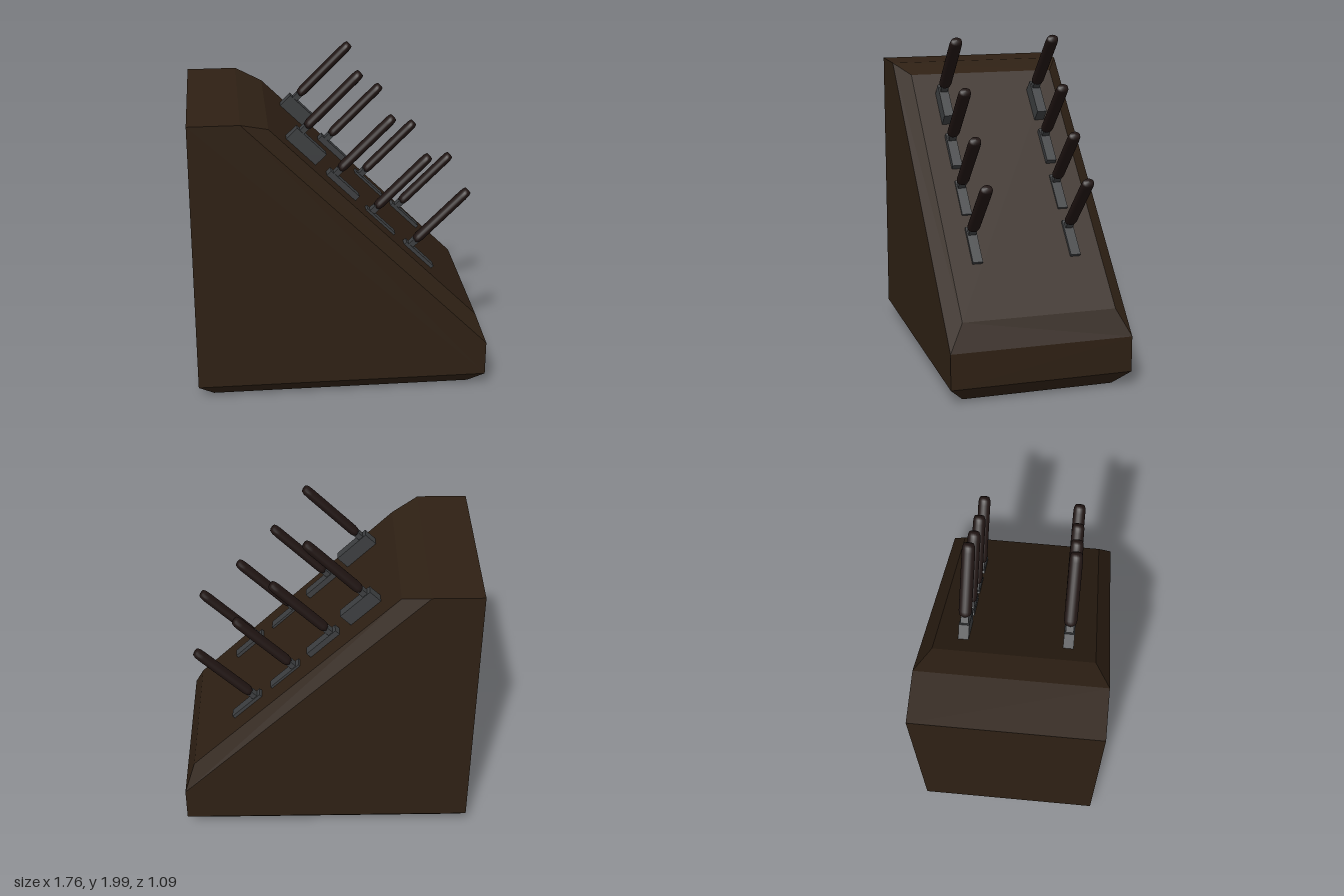
import * as THREE from 'three';
import { ConvexGeometry } from 'three/addons/geometries/ConvexGeometry.js';

const wood = new THREE.MeshStandardMaterial({ color: 0x2e2014, flatShading: true });
const grip = new THREE.MeshStandardMaterial({ color: 0x1f1412 });
const steel = new THREE.MeshStandardMaterial({ color: 0x3c3e40, flatShading: true });

function part(name, geometry, material, x = 0, y = 0, z = 0) {
  const mesh = new THREE.Mesh(geometry, material);
  mesh.name = name;
  mesh.position.set(x, y, z);
  return mesh;
}

// Chamfered wedge: each corner is x, y, half depth, mirrored front to back
function blockGeometry() {
  const corners = [
    [-0.79, 0, 0.455], [0.79, 0, 0.455],
    [-0.88, 0.095, 0.545], [0.88, 0.095, 0.545],
    [0.88, 0.31, 0.545], [0.82, 0.47, 0.46],
    [-0.42, 1.71, 0.46], [-0.58, 1.77, 0.545],
    [-0.88, 1.77, 0.545],
  ];
  return new ConvexGeometry(corners.flatMap(([x, y, z]) =>
    [new THREE.Vector3(x, y, z), new THREE.Vector3(x, y, -z)]));
}

// Rounded grip of oval section, standing on y = 0
function handleGeometry() {
  const profile = [[0, 0], [0.6, 0], [0.88, 0.012], [1, 0.035], [1, 0.395], [0.95, 0.425], [0.78, 0.443], [0, 0.447]]
    .map(([r, y]) => new THREE.Vector2(r, y));
  return new THREE.LatheGeometry(profile, 20).scale(0.029, 1, 0.038);
}

const handle = handleGeometry();
const neck = new THREE.BoxGeometry(0.035, 0.06, 0.045);
const blade = new THREE.BoxGeometry(0.24, 0.25, 0.06);

// Knife whose blade shoulder lies at y = 0, spine towards -x
function makeKnife() {
  const knife = new THREE.Group();
  knife.name = 'knife';
  knife.add(
    part('blade', blade, steel, 0.08, -0.125),
    part('neck', neck, steel, 0, 0.02),
    part('handle', handle, grip, 0, 0.036),
  );
  return knife;
}

export function createModel() {
  const model = new THREE.Group();
  model.name = 'knifeBlock';
  model.add(part('block', blockGeometry(), wood));

  // Knives stand square to the slope: local x runs down it, local y away from it
  const knives = new THREE.Group();
  knives.name = 'knives';
  knives.rotation.z = -Math.PI / 4;
  const shoulders = [1.002, 0.948, 0.926, 0.933];
  for (const z of [-0.3, 0.3]) {
    shoulders.forEach((height, i) => {
      const knife = makeKnife();
      knife.position.set(-1.314 + 0.332 * i, height, z);
      knives.add(knife);
    });
  }
  model.add(knives);
  return model;
}
